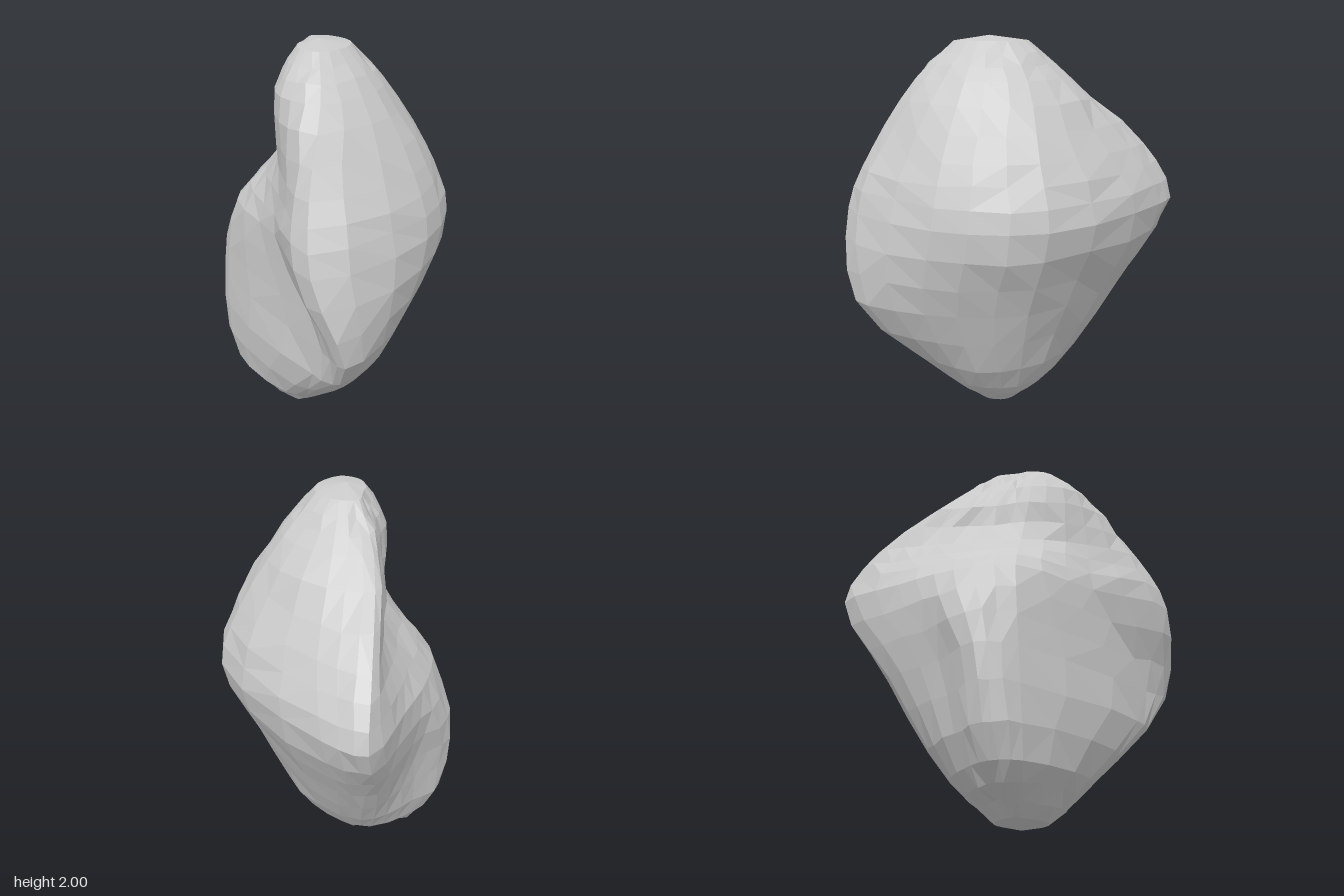
import * as THREE from 'three';

const STEPS = 3; // facets between neighbouring control points

// Horizontal cross-section: x, z pairs running back tip, back, right, front right, front ridge, notch, lobe, left, hollow.
function section(y, ...xz) {
  const corners = [];
  for (let i = 0; i < xz.length; i += 2) corners.push(new THREE.Vector3(xz[i], y, xz[i + 1]));
  return corners;
}

// Copy of a section shrunk toward an end of the rock, used to round it off.
const shrink = (corners, y, pole, amount) =>
  corners.map((p) => p.clone().lerp(pole, amount).setY(y));

// Small repeatable offset that breaks up the regular grid of facets.
function seeded(seed) {
  return () => {
    seed = (seed * 16807) % 2147483647;
    return seed / 2147483647 - 0.5;
  };
}

function boulderGeometry() {
  const foot = new THREE.Vector3(-.13, 0, .1);
  const peak = new THREE.Vector3(0, 2, .1);
  const body = [
    section(.22, -.28, -.19, -.12, -.22, .16, -.1, .23, .14, .12, .34, -.04, .4, -.44, .25, -.5, .12, -.43, -.03),
    section(.72, -.4, -.47, -.22, -.53, .36, -.22, .51, .25, .45, .66, .3, .6, -.48, .25, -.6, .09, -.48, -.15),
    section(1.17, -.45, -.75, -.23, -.73, .47, -.35, .6, .16, .33, .74, -.03, .46, -.42, .21, -.5, -.08, -.49, -.4),
    section(1.46, -.4, -.6, -.15, -.58, .39, -.28, .51, .14, .26, .63, 0, .43, -.2, .14, -.28, -.12, -.36, -.36),
    section(1.8, -.25, -.2, -.09, -.28, .2, -.16, .3, .11, .19, .41, -.02, .39, -.17, .19, -.19, .06, -.23, -.08),
  ];
  const sections = [shrink(body[0], .03, foot, .62), ...body, shrink(body.at(-1), 1.975, peak, .52)];
  const levels = (sections.length - 1) * STEPS;
  const sides = body[0].length * STEPS;

  // Blend the sections upward, then around
  const columns = body[0].map((_, k) =>
    new THREE.CatmullRomCurve3(sections.map((s) => s[k])).getPoints(levels));
  const jitter = seeded(41);
  const points = [];
  for (let i = 0; i <= levels; i++) {
    const loop = new THREE.CatmullRomCurve3(columns.map((c) => c[i]), true);
    for (let j = 0; j < sides; j++) {
      const p = loop.getPoint(j / sides);
      if (i % STEPS && j % STEPS) p.add(new THREE.Vector3(jitter(), jitter(), jitter()).multiplyScalar(.02));
      points.push(p);
    }
  }
  const bottom = points.push(foot) - 1;
  const top = points.push(peak) - 1;

  // Skin, splitting each patch along its shorter diagonal
  const index = [];
  for (let j = 0; j < sides; j++) {
    const n = (j + 1) % sides;
    for (let i = 0; i < levels; i++) {
      const a = i * sides + j, b = i * sides + n, c = a + sides, d = b + sides;
      if (points[b].distanceTo(points[c]) < points[a].distanceTo(points[d])) index.push(a, c, b, b, c, d);
      else index.push(a, c, d, a, d, b);
    }
    index.push(bottom, j, n, top, levels * sides + n, levels * sides + j);
  }
  const geometry = new THREE.BufferGeometry().setFromPoints(points);
  geometry.setIndex(index);
  geometry.computeVertexNormals();
  return geometry;
}

export function createModel() {
  const group = new THREE.Group();
  group.name = 'rock';
  const boulder = new THREE.Mesh(
    boulderGeometry(),
    new THREE.MeshStandardMaterial({ color: 0xcccccc, flatShading: true }));
  boulder.name = 'boulder';
  group.add(boulder);
  return group;
}
